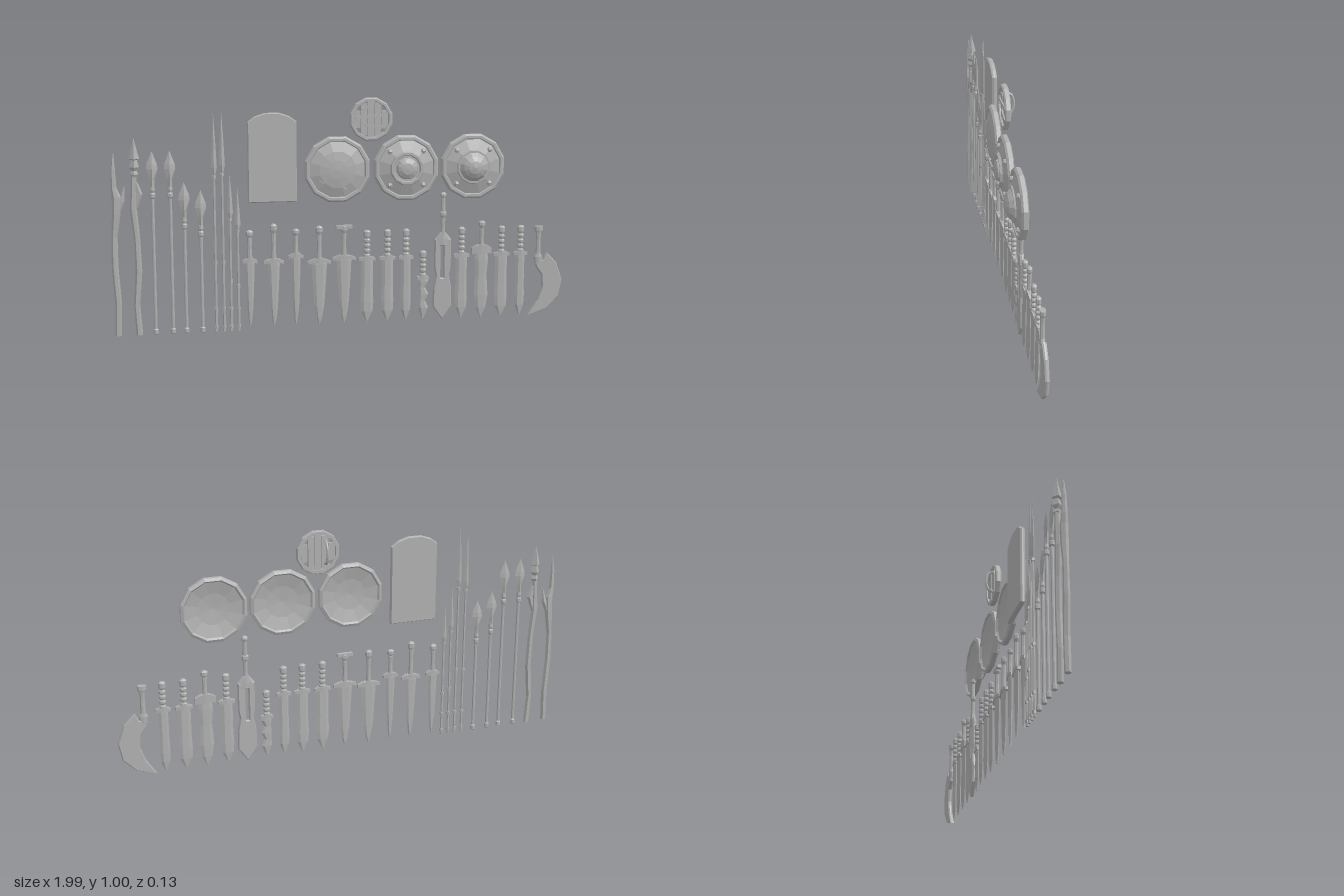
import * as THREE from 'three';

const ZC = -0.03; // plane in which the weapons hang

export function createModel() {
  const root = new THREE.Group();
  root.name = 'weaponRack';
  const steel = new THREE.MeshStandardMaterial({ color: 0xb0b0b0 });
  steel.name = 'grey';

  // faceted mesh
  function add(parent, name, geo, x = 0, y = 0, z = 0) {
    const g = geo.index ? geo.toNonIndexed() : geo;
    g.computeVertexNormals();
    const m = new THREE.Mesh(g, steel);
    m.name = name;
    m.position.set(x, y, z);
    parent.add(m);
    return m;
  }
  function group(name, x, y = 0, z = ZC) {
    const g = new THREE.Group();
    g.name = name;
    g.position.set(x, y, z);
    root.add(g);
    return g;
  }

  // solid through elliptical sections [y, rx, rz, cx, cz], listed in any order
  function loft(sections, sides = 6, phase = 0) {
    const s = [...sections].sort((a, b) => a[0] - b[0]);
    const pos = [], idx = [];
    for (const [y, rx, rz, cx = 0, cz = 0] of s)
      for (let i = 0; i < sides; i++) {
        const a = phase + (i / sides) * Math.PI * 2;
        pos.push(cx + Math.cos(a) * rx, y, cz + Math.sin(a) * rz);
      }
    for (let k = 0; k < s.length - 1; k++)
      for (let i = 0; i < sides; i++) {
        const j = (i + 1) % sides, a = k * sides + i, b = k * sides + j;
        idx.push(a, a + sides, b, b, a + sides, b + sides);
      }
    const top = (s.length - 1) * sides;
    for (let i = 1; i < sides - 1; i++) idx.push(0, i, i + 1, top, top + i + 1, top + i);
    const g = new THREE.BufferGeometry();
    g.setAttribute('position', new THREE.Float32BufferAttribute(pos, 3));
    g.setIndex(idx);
    return g;
  }
  function plate(points, depth, hole) {
    const shape = new THREE.Shape(points.map(p => new THREE.Vector2(...p)));
    if (hole) shape.holes.push(new THREE.Path(hole.map(p => new THREE.Vector2(...p))));
    const bevel = depth / 3;
    return new THREE.ExtrudeGeometry(shape, { depth: depth - 2 * bevel, bevelThickness: bevel,
      bevelSize: 0.004, bevelOffset: -0.004, bevelSegments: 1 }).translate(0, 0, bevel - depth / 2);
  }

  // gnarled wooden staffs
  const crooked = group('crookedStaff', -0.97);
  add(crooked, 'staffShaft', loft([[0, .014, .013], [.14, .014, .014, .004], [.3, .014, .013, -.006],
    [.43, .013, .012, -.005], [.53, .018, .016, .006], [.6, .019, .016, .008], [.64, .012, .012, -.002],
    [.72, .009, .009, -.003], [.785, .002, .002, 0]]));
  add(crooked, 'staffBranch', loft([[.53, .01, .01, .012], [.58, .012, .01, .03], [.645, .002, .002, .042]], 5));
  const totem = group('headedStaff', -0.885);
  add(totem, 'staffShaft', loft([[0, .014, .013, .004], [.13, .013, .013, -.004], [.28, .014, .013, .008],
    [.42, .013, .012, .004], [.55, .015, .014, -.008], [.7, .011, .011, -.002]]));
  add(totem, 'staffBranch', loft([[.54, .006, .006, 0], [.61, .014, .011, .018], [.66, .009, .009, .004]], 5));
  add(totem, 'staffHead', loft([[.68, .009, .009], [.695, .018, .018], [.71, .01, .01], [.725, .021, .021],
    [.755, .012, .012], [.76, .022, .022], [.845, .001, .001]], 4));

  // leaf headed spears: x, tip height
  for (const [x, tip] of [[-.812, .79], [-.738, .79], [-.681, .655], [-.612, .62]]) {
    const g = group('spear', x);
    add(g, 'spearShaft', loft([[0, .008, .008], [.003, .011, .011], [.02, .011, .011], [.024, .007, .007],
      [tip - .19, .007, .007]], 8));
    add(g, 'spearCollar', loft([[tip - .2, .008, .008], [tip - .195, .012, .012], [tip - .18, .012, .012],
      [tip - .175, .008, .008], [tip - .165, .011, .011], [tip - .15, .009, .009]], 8));
    add(g, 'spearHead', loft([[tip - .16, .008, .008], [tip - .12, .01, .009], [tip - .075, .024, .009],
      [tip - .055, .022, .008], [tip, .001, .001]], 4));
  }

  // slender pikes: x, tip height, blade length
  for (const [x, tip, len] of [[-.553, .945, .27], [-.519, .955, .27], [-.488, .69, .2], [-.456, .62, .18]]) {
    const g = group('pike', x);
    add(g, 'pikeShaft', loft([[0, .006, .006], [tip - len, .005, .005]], 6));
    for (const y of [.02, .1, tip * .32, tip - len])
      add(g, 'pikeRing', new THREE.CylinderGeometry(.009, .009, .012, 6), 0, y);
    add(g, 'pikeBlade', loft([[tip - len, .005, .005], [tip - len * .85, .013, .008],
      [tip - len * .5, .009, .007], [tip, .001, .001]], 4));
  }

  // swords: blade outlines as [distance from guard, width, sideways shift] fractions
  const outlines = {
    taper: [[-.03, .8], [.06, 1], [.3, .88], [.72, .62], [.9, .35], [1, .04]],
    straight: [[-.03, .85], [.08, .92], [.45, .9], [.68, 1], [.83, .9], [1, .04]],
    waist: [[-.03, .75], [.15, 1], [.38, .8], [.68, 1], [.86, .72], [1, .04]],
    wavy: [[-.03, .7], [.1, .95, .1], [.24, .6, -.15], [.4, .95, .15], [.56, .65, -.15], [.72, .95, .1], [1, .04]],
  };
  // x, top, guard height, guard half width, blade half width, outline, ringed grip
  const swords = [
    [-.406, .44, .31, .032, .021, 'taper', false], [-.302, .465, .305, .043, .026, 'taper', false],
    [-.206, .44, .325, .033, .021, 'taper', false], [-.104, .45, .297, .051, .034, 'taper', false],
    [.005, .45, .31, .051, .033, 'taper', false], [.107, .425, .3, .036, .029, 'straight', true],
    [.198, .425, .3, .036, .028, 'straight', true], [.281, .425, .3, .032, .023, 'straight', true],
    [.358, .325, .205, .027, .024, 'wavy', true], [.532, .425, .3, .035, .028, 'straight', true],
    [.623, .45, .325, .045, .032, 'waist', false], [.714, .425, .3, .036, .03, 'straight', true],
    [.802, .425, .3, .031, .022, 'straight', true],
  ];
  function grip(g, top, base, ringed) {
    const h = top - base, s = [];
    if (ringed)
      for (let i = 0; i < 5; i++) {
        const y = base + h * i * .18;
        s.push([y, .009, .009], [y + h * .06, .015, .012], [y + h * .12, .015, .012], [y + h * .17, .009, .009]);
      }
    else s.push([base, .012, .01], [base + h * .4, .009, .009], [base + h * .75, .011, .01]);
    add(g, 'grip', loft(s, 8));
    add(g, 'pommel', loft([[top - h * .25, .008, .008], [top - h * .16, .016, .012],
      [top - h * .05, .016, .012], [top, .008, .007]], 8));
  }
  function guard(g, y, half, thick, droop) {
    const s = [[-half, thick * .8, .009, -droop], [-half * .6, thick, .013, -droop * .3], [0, thick * 1.3, .017, 0],
      [half * .6, thick, .013, -droop * .3], [half, thick * .8, .009, -droop]];
    add(g, 'crossGuard', loft(s, 4, Math.PI / 4).rotateZ(Math.PI / 2), 0, y);
  }
  for (const [x, top, gy, gw, bw, kind, ringed] of swords) {
    const g = group('sword', x), len = gy - .013;
    grip(g, top, gy, ringed);
    guard(g, gy, gw, kind === 'waist' ? .024 : .011, ringed ? .004 : .009);
    add(g, 'blade', loft(outlines[kind].map(([t, w, d = 0]) => [gy - t * len, w * bw, .004 + .005 * w, d * bw]), 6));
  }
  // broad pommel bar on the middle sword
  add(group('pommelBar', .005), 'pommelBar', new THREE.BoxGeometry(.07, .014, .018), 0, .443);

  // great sword with a slotted blade
  const great = group('greatSword', .446);
  grip(great, .5, .375, false);
  add(great, 'longPommel', loft([[.48, .01, .01], [.56, .009, .009], [.565, .014, .012], [.575, .014, .012], [.583, .006, .006]], 8));
  add(great, 'bladeShoulder', loft([[.35, .038, .012], [.375, .036, .012], [.405, .012, .011]], 8));
  add(great, 'slottedBlade', plate([[-.037, .375], [-.037, .25], [-.03, .21], [-.041, .15], [-.042, .07], [0, .012],
    [.042, .07], [.041, .15], [.03, .21], [.037, .25], [.037, .375]], .018,
    [[-.01, .345], [.004, .345], [.004, .2], [-.01, .2]]));

  // sickle sword
  const sickle = group('sickleSword', .885);
  add(sickle, 'grip', loft([[.25, .018, .01], [.28, .02, .012], [.295, .012, .01], [.36, .01, .009],
    [.39, .013, .011], [.4, .02, .013], [.418, .02, .013]], 8));
  add(sickle, 'curvedBlade', plate([[.037, .3], [.085, .25], [.113, .17], [.098, .095], [.045, .04], [-.045, .012],
    [0, .08], [.021, .14], [.016, .2], [-.01, .235], [-.014, .27], [.02, .265]], .018));

  // tower shield
  const arch = [[-.105, .56], [.105, .56], [.105, .905], [.075, .928], [.03, .943], [-.03, .943], [-.075, .928], [-.105, .905]];
  add(group('towerShield', -.305), 'towerBoard', plate(arch, .022));

  // twelve sided round shields, profile from back centre to front centre
  const disc = pts => new THREE.LatheGeometry(pts.map(p => new THREE.Vector2(...p)), 12, Math.PI / 12).rotateX(Math.PI / 2);
  const rim = [[0, .014], [.07, .008], [.125, -.004], [.132, -.012], [.145, -.006], [.145, .01], [.137, .018], [.126, .018], [.122, .011]];
  const fronts = [
    [[.08, .024], [.04, .029], [0, .031]],
    [[.075, .028], [.07, .038], [.06, .038], [.056, .03], [.048, .03], [.043, .042], [.025, .05], [0, .052]],
    [[.075, .027], [.072, .034], [.064, .034], [.06, .038], [.048, .05], [.028, .06], [0, .065]],
  ];
  [-.03, .27, .565].forEach((x, n) => {
    const g = group('roundShield', x, .7, 0);
    add(g, 'shieldDisc', disc([...rim, ...fronts[n]]));
    if (n) {
      for (const sx of [-1, 1]) for (const sy of [-1, 1])
        add(g, 'rivet', new THREE.SphereGeometry(.012, 6, 4), sx * .073, sy * .073, .019);
    } else {
      // shallow dents
      for (const [px, py, a] of [[-.05, .06, .5], [.06, .03, .6], [.03, -.08, -.5], [-.07, -.05, -.6], [-.02, -.02, .2]])
        add(g, 'dent', new THREE.BoxGeometry(.022, .004, .006), px, py, .021).rotation.z = a;
    }
  });

  // small plank shield with a back handle
  const buckler = group('plankShield', .12, .91, -.018);
  add(buckler, 'shieldRim', disc([[.078, -.011], [.092, -.011], [.095, -.006], [.095, .008], [.09, .013], [.08, .013], [.078, .008], [.078, -.011]]));
  [-.06, -.03, 0, .03, .06].forEach((px, i) => {
    const h = 2 * Math.sqrt(.081 ** 2 - (Math.abs(px) + .012) ** 2);
    add(buckler, 'plank', new THREE.BoxGeometry(.0275, h, .012 + (i % 2) * .004), px, 0, -.001);
  });
  for (const [px, py, w, a] of [[-.01, .012, .12, .08], [.02, -.03, .08, -.15], [-.02, .05, .05, .3]])
    add(buckler, 'crossBatten', new THREE.BoxGeometry(w, .01, .008), px, py, .008).rotation.z = a;
  const bow = new THREE.CatmullRomCurve3([[.05, -.008], [.042, -.03], [.015, -.041], [-.015, -.041], [-.042, -.03], [-.05, -.008]]
    .map(([y, z]) => new THREE.Vector3(-.03, y, z)));
  add(buckler, 'backHandle', new THREE.TubeGeometry(bow, 10, .006, 6));

  return root;
}
